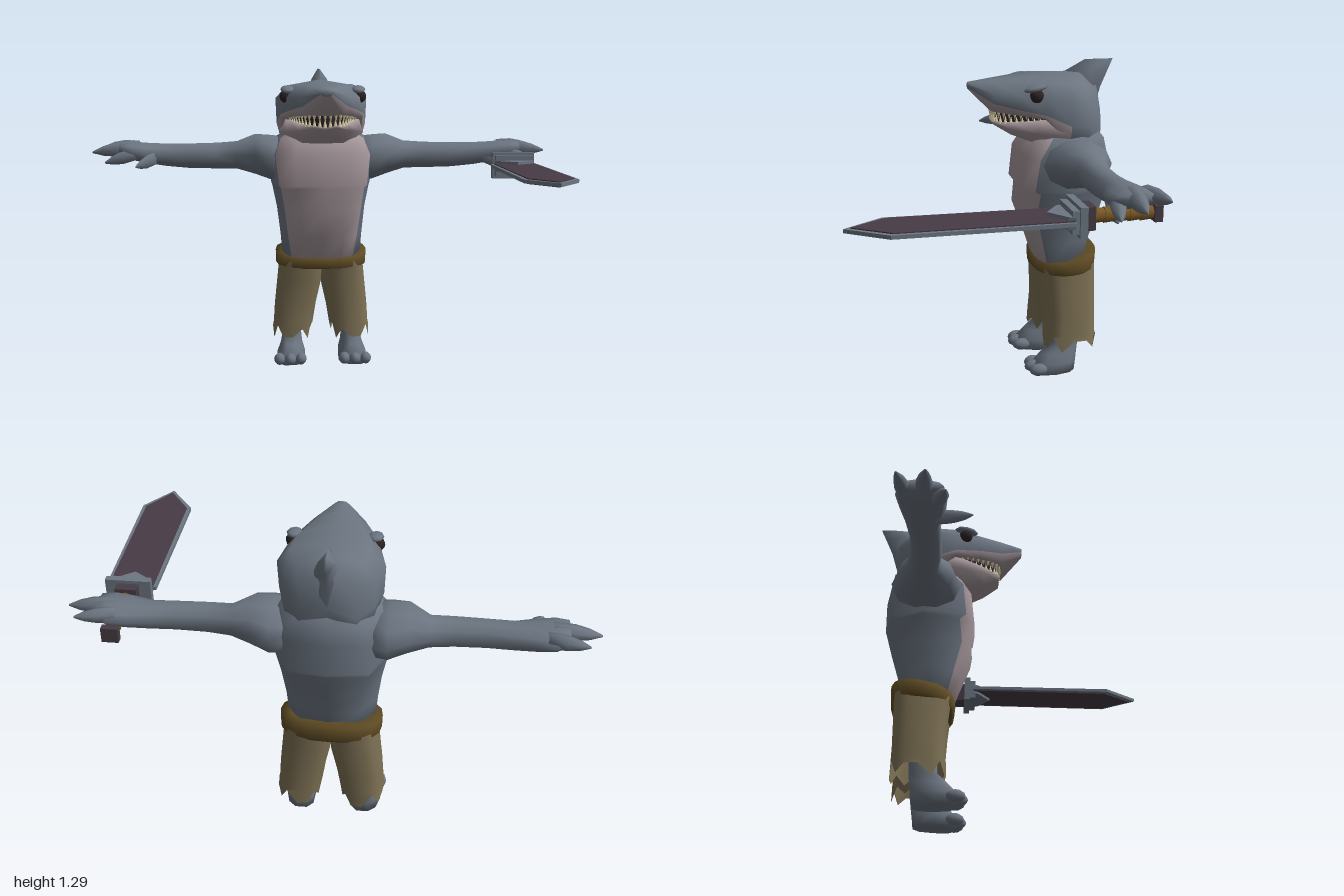
import * as THREE from 'three';

const mat = (name, color, side = THREE.FrontSide) => {
  const m = new THREE.MeshStandardMaterial({ color, side });
  m.name = name;
  return m;
};

// Joins rings of [x,y,z] points; pick(row, column) chooses the material index.
function loft(rings, { caps = true, pick = () => 0 } = {}) {
  const n = rings[0].length, pos = rings.flat(), faces = [[], []];
  for (let r = 0; r < rings.length - 1; r++) {
    for (let k = 0; k < n; k++) {
      const a = r * n + k, b = r * n + (k + 1) % n;
      faces[pick(r, k)].push([a, b, b + n], [a, b + n, a + n]);
    }
  }
  if (caps) [0, rings.length - 1].forEach((r, end) => {
    const c = pos.length;
    pos.push([0, 1, 2].map(i => rings[r].reduce((s, p) => s + p[i], 0) / n));
    for (let k = 0; k < n; k++) {
      const a = r * n + k, b = r * n + (k + 1) % n;
      faces[0].push(end ? [a, b, c] : [b, a, c]);
    }
  });
  // Turn the faces outward
  const P = pos.map(p => new THREE.Vector3(...p));
  const mid = P.reduce((s, p) => s.add(p), new THREE.Vector3()).divideScalar(P.length);
  P.forEach(p => p.sub(mid));
  const volume = faces.flat().reduce((s, [a, b, c]) => s + P[a].dot(P[b].clone().cross(P[c])), 0);
  const lists = faces.map(f => f.flatMap(([a, b, c]) => (volume < 0 ? [a, c, b] : [a, b, c])));
  const g = new THREE.BufferGeometry();
  g.setAttribute('position', new THREE.Float32BufferAttribute(pos.flat(), 3));
  g.setIndex(lists.flat());
  g.addGroup(0, lists[0].length, 0);
  if (lists[1].length) g.addGroup(lists[0].length, lists[1].length, 1);
  g.computeVertexNormals();
  return g;
}

// Half cross-section mirrored across x = 0
const symmetric = half => [...half, ...half.slice(1, -1).reverse().map(([x, y, z]) => [-x, y, z])];

// Rounded-square ring; place(u, v, k) maps the unit outline to a point
const ring = (n, place, power = 0.8) => Array.from({ length: n }, (_, k) => {
  const t = (k / n) * Math.PI * 2, c = Math.cos(t), s = Math.sin(t);
  return place(Math.sign(c) * Math.abs(c) ** power, Math.sign(s) * Math.abs(s) ** power, k);
});

export function createModel() {
  const model = new THREE.Group();
  const skin = mat('greySkin', 0x6c7581), belly = mat('paleBelly', 0xa3959a);
  const cloth = mat('trouserCloth', 0x7c7054, THREE.DoubleSide), leather = mat('beltLeather', 0x5e4b24);
  const ivory = mat('teethIvory', 0xd6cda6), dark = mat('darkEye', 0x2b2224);
  const steel = mat('steel', 0x6c7682), blade = mat('darkBlade', 0x473c45), wrap = mat('gripWrap', 0x7a5926);
  const add = (name, geo, m, parent = model) => {
    const mesh = new THREE.Mesh(geo, m);
    mesh.name = name;
    parent.add(mesh);
    return mesh;
  };

  // Torso rows: y, front z, edge x/z, side x/z, back x/z, spine z
  const torso = [
    [0.45, -0.29, 0.13, -0.31, 0.17, -0.38, 0.12, -0.46, -0.48],
    [0.57, -0.25, 0.15, -0.28, 0.18, -0.38, 0.12, -0.48, -0.50],
    [0.69, -0.205, 0.165, -0.25, 0.195, -0.40, 0.13, -0.52, -0.535],
    [0.785, -0.215, 0.18, -0.26, 0.215, -0.41, 0.15, -0.54, -0.56],
    [0.80, -0.195, 0.19, -0.235, 0.22, -0.41, 0.16, -0.54, -0.565],
    [0.93, -0.21, 0.205, -0.25, 0.23, -0.41, 0.16, -0.54, -0.565],
    [1.00, -0.25, 0.18, -0.30, 0.20, -0.42, 0.14, -0.53, -0.55],
    [1.05, -0.32, 0.10, -0.36, 0.12, -0.43, 0.08, -0.49, -0.51],
  ].map(([y, f, ex, ez, sx, sz, bx, bz, s]) =>
    symmetric([[0, y, f], [ex * 0.6, y, f - 0.005], [ex, y, ez], [sx, y, sz], [bx, y, bz], [0, y, s]]));
  add('torso', loft(torso, { pick: (r, k) => (Math.min(k, 9 - k) < 2 ? 1 : 0) }), [skin, belly]);

  // Head rows: z, top y, then crown, side, edge and lip as x/y, palate y
  const head = [
    [0.00, 1.22, 0.015, 1.218, 0.03, 1.207, 0.025, 1.197, 0.015, 1.19, 1.19],
    [-0.085, 1.226, 0.055, 1.222, 0.10, 1.185, 0.095, 1.145, 0.075, 1.11, 1.105],
    [-0.18, 1.233, 0.09, 1.228, 0.145, 1.18, 0.145, 1.125, 0.125, 1.10, 1.105],
    [-0.28, 1.24, 0.13, 1.232, 0.175, 1.18, 0.18, 1.105, 0.17, 1.088, 1.09],
    [-0.38, 1.25, 0.15, 1.225, 0.20, 1.17, 0.195, 1.06, 0.175, 0.99, 0.96],
    [-0.46, 1.25, 0.12, 1.22, 0.17, 1.14, 0.17, 1.05, 0.16, 0.96, 0.95],
    [-0.525, 1.22, 0.05, 1.18, 0.10, 1.10, 0.11, 1.03, 0.10, 0.96, 0.95],
  ].map(([z, t, cx, cy, sx, sy, ex, ey, lx, ly, p]) =>
    symmetric([[0, t, z], [cx, cy, z], [sx, sy, z], [ex, ey, z], [lx, ly, z], [0, p, z]]));
  add('head', loft(head, { pick: (r, k) => (r < 4 && Math.min(k, 9 - k) > 2 ? 1 : 0) }), [skin, belly]);

  // Jaw rows: z, rim x/y, cheek x/y, chin x/y
  const jaw = [
    [-0.098, 0.05, 1.065, 0.05, 1.056, 0.03, 1.05],
    [-0.16, 0.105, 1.068, 0.11, 1.04, 0.06, 1.012],
    [-0.25, 0.152, 1.08, 0.16, 1.03, 0.09, 0.98],
    [-0.36, 0.175, 1.088, 0.185, 1.02, 0.12, 0.955],
    [-0.43, 0.15, 1.06, 0.16, 1.0, 0.10, 0.94],
  ].map(([z, rx, ry, mx, my, bx, by]) =>
    symmetric([[0, ry - 0.01, z], [rx, ry, z], [mx, my, z], [bx, by, z], [0, by - 0.004, z]]));
  add('jaw', loft(jaw), belly);
  const mouth = [[-0.11, 0.035], [-0.17, 0.085], [-0.25, 0.13], [-0.33, 0.15]].map(([z, w]) =>
    [[-w, 1.05, z], [w, 1.05, z], [w, 1.115, z], [-w, 1.115, z]]);
  add('mouthInside', loft(mouth), dark);

  // Two rows of pointed teeth
  const row = [[0.15, -0.255], [0.11, -0.165], [0.06, -0.105], [0, -0.095]];
  const arc = new THREE.CatmullRomCurve3([...row, ...row.slice(0, 3).reverse().map(([x, z]) => [-x, z])]
    .map(([x, z]) => new THREE.Vector3(x, 0, z)));
  for (let i = 0; i < 21; i++) {
    const p = arc.getPointAt(i / 20), scale = 1 - Math.abs(i - 10) * 0.035;
    for (const up of [0, 1]) {
      const tooth = add(up ? 'lowerTooth' : 'upperTooth', new THREE.ConeGeometry(0.009, 0.04 * scale, 5), ivory);
      tooth.position.set(p.x * (up ? 0.93 : 0.96), up ? 1.077 : 1.094, p.z - up * 0.008);
      tooth.rotation.x = up ? 0 : Math.PI;
    }
  }

  // Head fin: y, front z, back z, half width
  add('headFin', loft([[1.05, -0.44, -0.518, 0.07], [1.18, -0.40, -0.555, 0.06],
    [1.25, -0.40, -0.585, 0.035], [1.295, -0.485, -0.605, 0.005]].map(([y, f, b, w]) =>
    symmetric([[0, y, f], [w, y, f * 0.45 + b * 0.55], [0, y, b]]))), skin);

  // Trousers band
  const belt = [[0.425, 0.44, 0.188, 0.117], [0.43, 0.455, 0.20, 0.128], [0.473, 0.522, 0.202, 0.132],
    [0.472, 0.518, 0.16, 0.09]].map(([front, back, w, d]) =>
    ring(20, (u, v) => [u * w, (front + back) / 2 - v * (back - front) / 2, -0.40 + v * d]));
  add('belt', loft(belt), leather);

  // Limb from elliptical sections along x: x, y, z, half height, half depth
  const arm = [
    [0.14, 0.91, -0.40, 0.09, 0.13], [0.22, 0.91, -0.40, 0.10, 0.14], [0.29, 0.925, -0.40, 0.09, 0.115],
    [0.37, 0.92, -0.41, 0.062, 0.066], [0.46, 0.918, -0.40, 0.058, 0.062], [0.58, 0.918, -0.40, 0.055, 0.06],
    [0.68, 0.922, -0.41, 0.05, 0.065], [0.76, 0.93, -0.41, 0.045, 0.085], [0.83, 0.94, -0.415, 0.04, 0.095],
    [0.88, 0.95, -0.415, 0.025, 0.08],
  ];
  for (const side of [1, -1]) {
    const limb = new THREE.Group();
    limb.name = side > 0 ? 'leftLimbs' : 'rightLimbs';
    model.add(limb);
    add('arm', loft(arm.map(([x, y, z, h, d]) =>
      ring(10, (u, v) => [side * x, y + v * h, z + u * d], 1))), skin, limb);

    // Fingers: base, tip, thickness; the left thumb curls around the grip
    const fingers = [
      [[0.80, 0.95, -0.465], [0.95, 0.955, -0.505], 0.034], [[0.82, 0.955, -0.41], [1.0, 0.935, -0.40], 0.036],
      [[0.80, 0.935, -0.36], [0.94, 0.895, -0.33], 0.034],
      [[0.72, 0.915, -0.37], side > 0 ? [0.85, 0.86, -0.35] : [0.80, 0.885, -0.23], 0.034],
    ];
    for (const [a, b, r] of fingers) {
      const at = (t, w) => ring(7, (u, v) => [0, 1, 2].map(i =>
        (a[i] + (b[i] - a[i]) * t + (i === 1 ? v * w : i === 2 ? u * w : 0)) * (i ? 1 : side)), 1);
      add('finger', loft([at(0, r * 0.9), at(0.45, r * 0.9), at(0.75, r * 0.6), at(1, 0.004)]), skin, limb);
    }

    // Ragged trouser leg: y, centre x, half width, centre z, half depth
    const leg = [[0.47, 0.088, 0.097, -0.40, 0.115], [0.36, 0.097, 0.099, -0.405, 0.108],
      [0.25, 0.115, 0.092, -0.408, 0.104], [0.17, 0.124, 0.088, -0.407, 0.107], [0.13, 0.13, 0.086, -0.407, 0.109]];
    const hem = [0.02, -0.015, 0.035, -0.025];
    add('trouserLeg', loft(leg.map(([y, x, w, z, d], r) => ring(16, (u, v, k) =>
      [side * (x + u * w), y + (r === 4 ? hem[(k * 3 + (k >> 2)) % 4] : 0), z + v * d], 0.75)),
      { caps: false }), cloth, limb);

    // Foot: y, front z, back z, half width
    add('foot', loft([[0.27, -0.34, -0.45, 0.045], [0.13, -0.33, -0.445, 0.04], [0.085, -0.285, -0.44, 0.048],
      [0.045, -0.25, -0.435, 0.062], [0, -0.25, -0.43, 0.06]].map(([y, f, b, w]) => ring(10, (u, v) => {
      const z = (f + b) / 2 + v * (f - b) / 2;
      return [side * (0.13 + u * w + (z + 0.40) * 0.1), y, z];
    }))), skin, limb);
    for (const i of [-1, 0, 1]) {
      const toe = add('toe', new THREE.SphereGeometry(1, 8, 6), skin, limb);
      toe.scale.set(0.025, 0.026, 0.04);
      toe.position.set(side * (0.143 + i * 0.047), 0.028, -0.262 + (i === 0 ? 0.01 : 0));
    }

    // Eye under a heavy brow
    const eye = add('eye', new THREE.SphereGeometry(0.028, 10, 8), dark, limb);
    eye.position.set(side * 0.158, 1.182, -0.243);
    const brow = add('brow', new THREE.SphereGeometry(1, 8, 6), skin, limb);
    brow.scale.set(0.03, 0.014, 0.05);
    brow.position.set(side * 0.152, 1.212, -0.24);
    brow.rotation.x = 0.2;
  }

  // Sword, lying along z in the left hand
  const sword = new THREE.Group();
  sword.name = 'sword';
  sword.position.set(0.82, 0.885, 0);
  model.add(sword);
  const plate = (name, points, depth, m) => {
    const shape = new THREE.Shape(points.map(([x, z]) => new THREE.Vector2(x, z)));
    const g = new THREE.ExtrudeGeometry(shape, { depth, bevelEnabled: false });
    g.translate(0, 0, -depth / 2).rotateX(Math.PI / 2);
    return add(name, g, m, sword);
  };
  plate('bladeEdge', [[-0.1, -0.18], [0.1, -0.18], [0.106, 0.46], [0, 0.605], [-0.106, 0.46]], 0.014, steel);
  plate('bladeFace', [[-0.088, -0.18], [0.088, -0.18], [0.09, 0.45], [0, 0.58], [-0.09, 0.45]], 0.022, blade);
  plate('guardPoint', [[-0.085, -0.18], [0.085, -0.18], [0.075, -0.155], [0, -0.10], [-0.075, -0.155]], 0.045, steel);
  const block = (name, w, h, z0, z1, m) =>
    add(name, new THREE.BoxGeometry(w, h, z1 - z0), m, sword).position.z = (z0 + z1) / 2;
  block('guardFront', 0.16, 0.085, -0.195, -0.17, steel);
  block('guardBack', 0.18, 0.112, -0.222, -0.195, steel);
  block('collar', 0.085, 0.085, -0.265, -0.222, blade);
  for (let i = 0; i < 5; i++) {
    const grip = add('gripWrap', new THREE.CylinderGeometry(0.03, 0.025, 0.048, 8), wrap, sword);
    grip.rotation.x = Math.PI / 2;
    grip.position.z = -0.285 - i * 0.045;
  }
  block('pommel', 0.065, 0.06, -0.515, -0.485, blade);
  return model;
}
